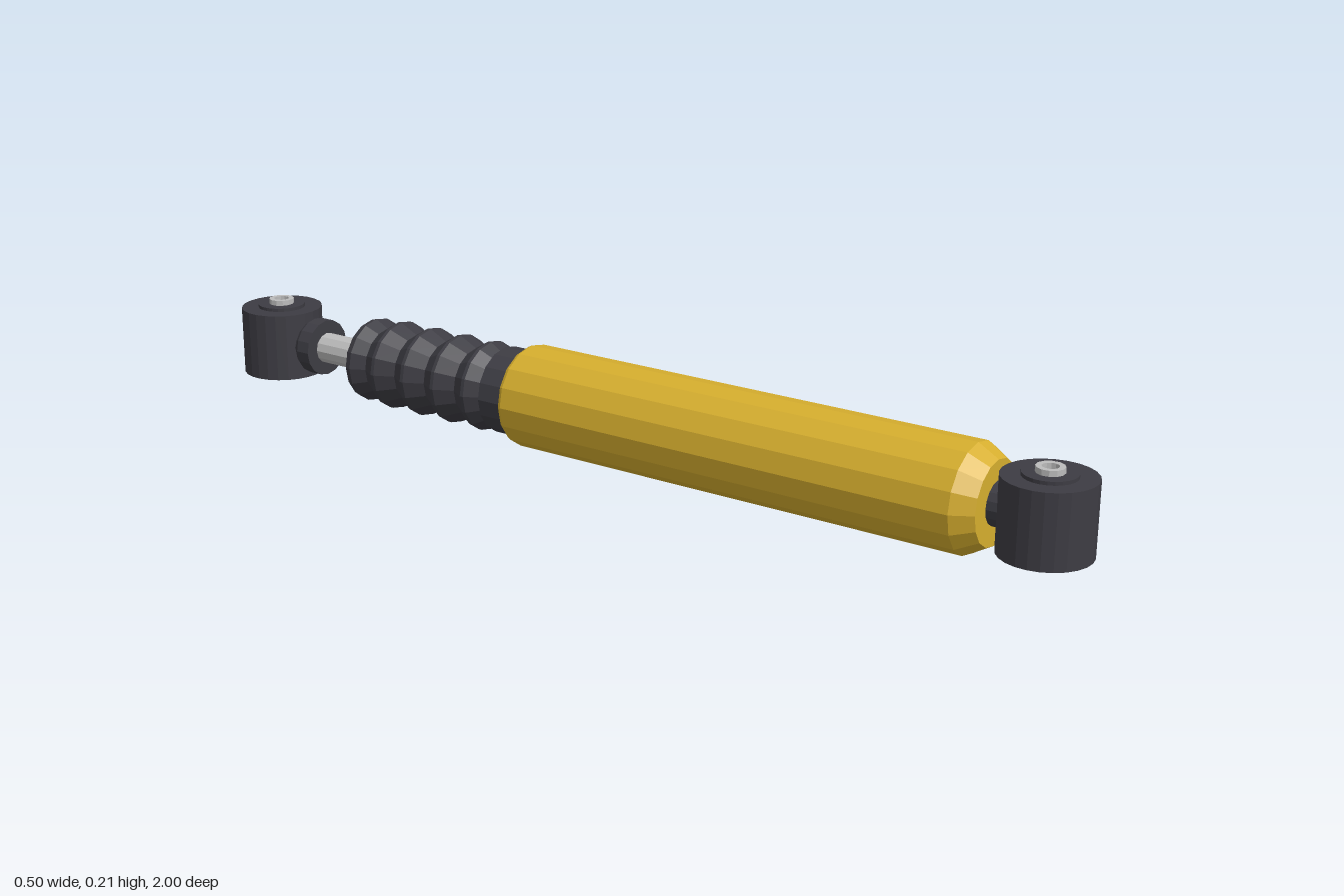
import * as THREE from 'three';

export function createModel() {
  const model = new THREE.Group();
  model.name = 'shockAbsorber';

  const mat = (name, color, side = THREE.FrontSide) =>
    new THREE.MeshStandardMaterial({ name, color, side, flatShading: true });
  const yellow = mat('yellowPaint', 0xd6ae2e);
  const rubber = mat('darkRubber', 0x3d3c43, THREE.DoubleSide);
  const steel = mat('steel', 0xbcbcbc);

  // Turned part from [radius, height] pairs, listed from low to high
  const turned = (parent, name, points, sides, material) => {
    const profile = points.map(([r, h]) => new THREE.Vector2(r, h));
    const mesh = new THREE.Mesh(new THREE.LatheGeometry(profile, sides), material);
    mesh.name = name;
    parent.add(mesh);
    return mesh;
  };

  const midHeight = 0.106;
  const endX = 0.163, endZ = 0.912;

  // Everything along the long axis is turned about y, then laid along +z
  const heading = new THREE.Group();
  heading.name = 'damper';
  heading.position.y = midHeight;
  heading.rotation.y = Math.atan2(endX, endZ);
  model.add(heading);
  const axis = new THREE.Group();
  axis.name = 'damperAxis';
  axis.rotation.x = Math.PI / 2;
  heading.add(axis);

  turned(axis, 'body', [[0, -0.226], [0.102, -0.226], [0.106, -0.218],
    [0.106, 0.787], [0.082, 0.828], [0, 0.828]], 16, yellow);

  // Bellows boot, open at the rod end
  const boot = [[0.086, -0.657], [0.09, -0.643]];
  for (let i = 0; i < 4; i++) {
    const s = -0.575 + i * 0.082;
    boot.push([0.074, s - 0.037], [0.094, s - 0.004], [0.094, s + 0.004]);
  }
  boot.push([0.076, -0.294], [0.09, -0.288], [0.09, -0.22]);
  turned(axis, 'bellowsBoot', boot, 16, rubber);

  turned(axis, 'pistonRod', [[0, -0.82], [0.033, -0.82], [0.033, -0.226], [0, -0.226]], 12, steel);
  turned(axis, 'rodCollar', [[0, -0.87], [0.042, -0.87], [0.042, -0.836], [0.054, -0.836],
    [0.061, -0.825], [0.061, -0.793], [0, -0.793]], 16, rubber);
  turned(axis, 'bodyNeck', [[0, 0.82], [0.042, 0.82], [0.042, 0.87], [0, 0.87]], 16, rubber);

  // Mounting eyes with bushing and hollow sleeve
  for (const side of [1, -1]) {
    const eye = new THREE.Group();
    eye.name = side > 0 ? 'frontEye' : 'backEye';
    eye.position.set(side * endX, midHeight, side * endZ);
    model.add(eye);
    const ring = (name, inner, outer, half, sides, material) =>
      turned(eye, name, [[inner, -half], [outer, -half], [outer, half],
        [inner, half], [inner, -half]], sides, material);
    ring('eyeHousing', 0.05, 0.088, 0.073, 24, rubber);
    ring('bushing', 0.026, 0.051, 0.08, 24, rubber);
    ring('sleeve', 0.016, 0.027, 0.091, 12, steel);
  }

  return model;
}
